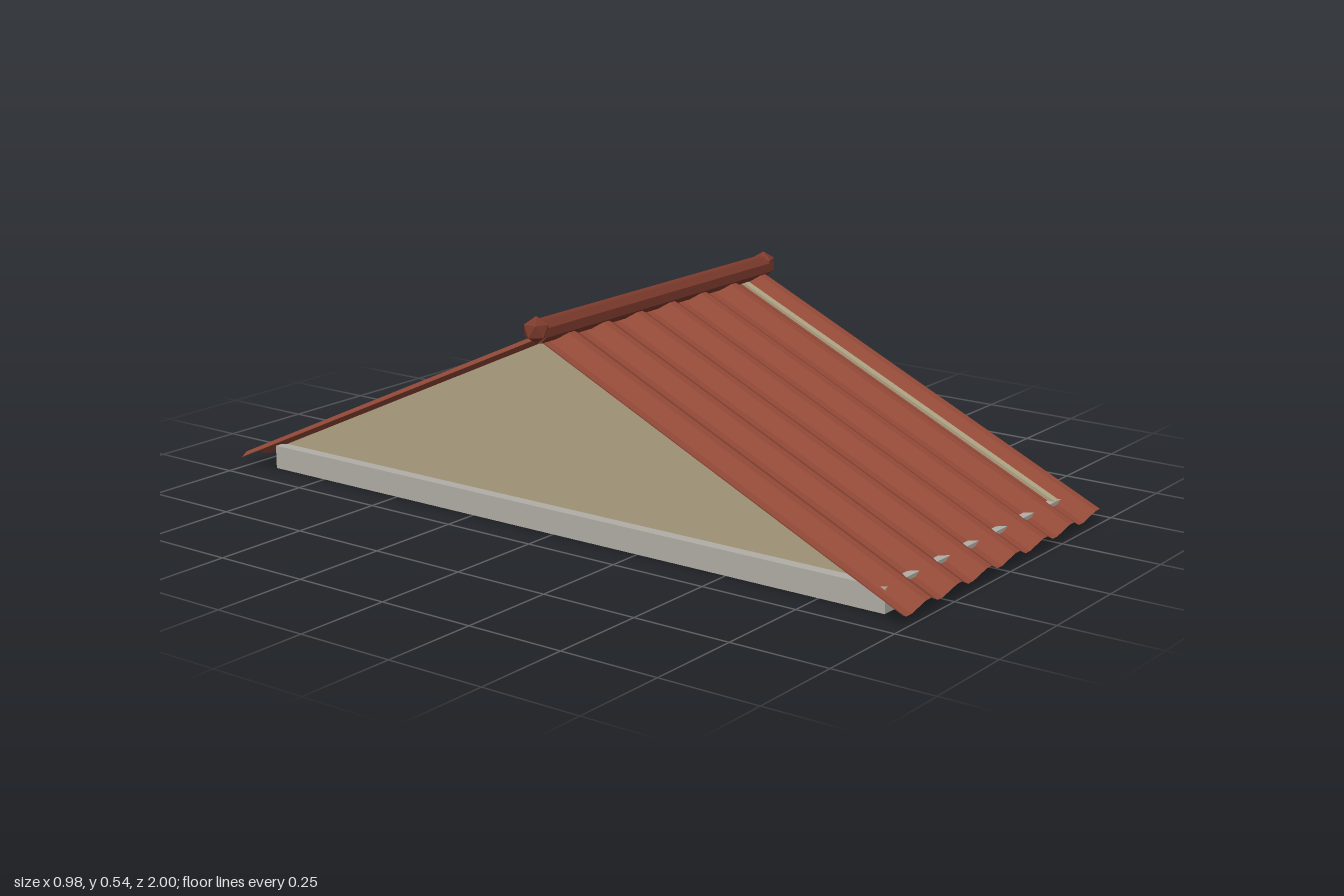
import * as THREE from 'three';

const material = (color, side = THREE.FrontSide) =>
  new THREE.MeshStandardMaterial({ color, side, flatShading: true });

const WIDTH = 0.92, WAVES = 7, STEPS = 6;          // corrugated sheet
const RIDGE_Y = 0.486, EAVE_Y = 0.028, EAVE_Z = 0.995;

// Wavy sheet sloping from the ridge down to the +z eave
function corrugatedSheet() {
  const length = Math.hypot(EAVE_Z, RIDGE_Y - EAVE_Y);
  const geo = new THREE.PlaneGeometry(WIDTH, length, WAVES * STEPS, 1);
  const pos = geo.attributes.position;
  for (let i = 0; i < pos.count; i++) {
    const phase = ((pos.getX(i) + WIDTH / 2) / WIDTH) * WAVES * Math.PI * 2;
    pos.setZ(i, -0.0125 * Math.sin(phase));
  }
  geo.rotateX(-Math.atan2(EAVE_Z, RIDGE_Y - EAVE_Y));
  geo.translate(0, (RIDGE_Y + EAVE_Y) / 2, EAVE_Z / 2);
  geo.computeVertexNormals();
  return geo;
}

export function createModel() {
  const model = new THREE.Group();
  model.name = 'gableRoof';
  const roofMat = material(0x934937, THREE.DoubleSide);
  const ridgeMat = material(0x7c3a2c);
  const wallMat = material(0xb0a384);
  const slabMat = material(0xb0ada5);

  const add = (name, geo, mat) => {
    const mesh = new THREE.Mesh(geo, mat);
    mesh.name = name;
    model.add(mesh);
    return mesh;
  };

  // Ceiling slab
  add('ceilingSlab', new THREE.BoxGeometry(0.82, 0.06, 1.84), slabMat).position.y = 0.03;

  // Thin triangular gable walls
  const triangle = new THREE.Shape([
    new THREE.Vector2(-0.92, 0.06),
    new THREE.Vector2(0.92, 0.06),
    new THREE.Vector2(0, 0.482),
  ]);
  const gable = new THREE.ExtrudeGeometry(triangle, { depth: 0.02, bevelEnabled: false });
  gable.translate(0, 0, -0.01);
  gable.rotateY(Math.PI / 2);
  for (const side of [1, -1]) {
    add(side > 0 ? 'leftGableWall' : 'rightGableWall', gable, wallMat).position.x = side * 0.37;
  }

  // Two identical sheets, the back one turned half round
  const sheet = corrugatedSheet();
  add('frontRoofSheet', sheet, roofMat);
  add('backRoofSheet', sheet, roofMat).rotation.y = Math.PI;

  // Eight-sided ridge cap
  const ridge = new THREE.CylinderGeometry(0.029, 0.029, 0.92, 8);
  ridge.rotateY(Math.PI / 8);
  ridge.rotateZ(Math.PI / 2);
  add('ridgeCap', ridge, ridgeMat).position.y = 0.503;

  // Faceted finials at both ridge ends
  const finial = new THREE.IcosahedronGeometry(0.033, 0);
  finial.rotateZ(Math.atan(2 / (1 + Math.sqrt(5))));
  for (const side of [1, -1]) {
    const ball = add(side > 0 ? 'leftFinial' : 'rightFinial', finial, ridgeMat);
    ball.position.set(side * 0.462, 0.508, 0);
    if (side < 0) ball.rotation.y = Math.PI;
  }

  return model;
}
